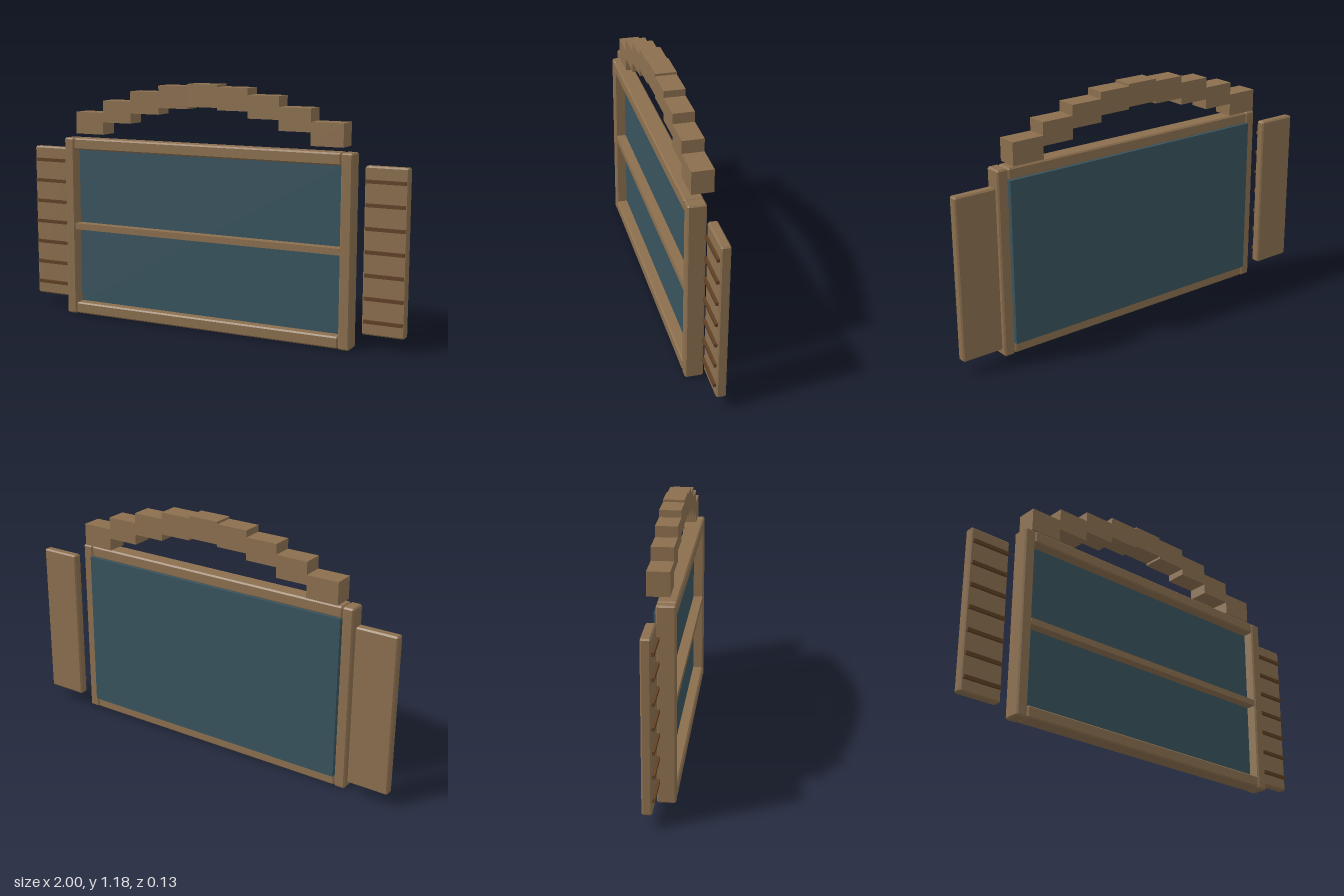
import * as THREE from 'three';
import { ConvexGeometry } from 'three/addons/geometries/ConvexGeometry.js';

const wood = new THREE.MeshStandardMaterial({ color: 0x8b6f4e });
const darkWood = new THREE.MeshStandardMaterial({ color: 0x5f4025 });
const glass = new THREE.MeshStandardMaterial({ color: 0x38535d });

// Box with every edge chamfered by c
function chamferBox(w, h, d, c) {
  const points = [];
  for (const x of [-1, 1]) for (const y of [-1, 1]) for (const z of [-1, 1]) {
    const [a, b, e] = [w / 2, h / 2, d / 2];
    points.push(
      new THREE.Vector3(x * a, y * (b - c), z * (e - c)),
      new THREE.Vector3(x * (a - c), y * b, z * (e - c)),
      new THREE.Vector3(x * (a - c), y * (b - c), z * e));
  }
  return new ConvexGeometry(points);
}

export function createModel() {
  const model = new THREE.Group();
  model.name = 'archedWindow';

  // Adds a block given by its bounds, optionally chamfered
  function block(parent, name, material, [x0, x1], [y0, y1], [z0, z1], chamfer = 0) {
    const size = [x1 - x0, y1 - y0, z1 - z0];
    const geometry = chamfer ? chamferBox(...size, chamfer) : new THREE.BoxGeometry(...size);
    const mesh = new THREE.Mesh(geometry, material);
    mesh.name = name;
    mesh.position.set((x0 + x1) / 2, (y0 + y1) / 2, (z0 + z1) / 2);
    parent.add(mesh);
  }

  // Frame: two posts, two rails, middle bar and pane
  const frame = new THREE.Group();
  frame.name = 'frame';
  model.add(frame);
  const depth = [-0.02, 0.065];
  block(frame, 'leftPost', wood, [0.71, 0.765], [0, 0.9], depth, 0.007);
  block(frame, 'rightPost', wood, [-0.765, -0.71], [0, 0.9], depth, 0.007);
  block(frame, 'bottomRail', wood, [-0.71, 0.71], [0.003, 0.06], depth, 0.007);
  block(frame, 'topRail', wood, [-0.71, 0.71], [0.843, 0.9], depth, 0.007);
  block(frame, 'middleBar', wood, [-0.71, 0.71], [0.437, 0.468], [0, 0.06]);
  block(frame, 'pane', glass, [-0.71, 0.71], [0.056, 0.847], [-0.035, 0.012]);

  // Shutters with seven slats each
  for (const [side, x] of [['left', 0.898], ['right', -0.898]]) {
    const shutter = new THREE.Group();
    shutter.name = side + 'Shutter';
    model.add(shutter);
    block(shutter, 'shutterPanel', wood, [x - 0.102, x + 0.102], [0.065, 0.84], [-0.056, -0.011], 0.007);
    for (let i = 0; i < 7; i++) {
      const y = 0.13 + i * 0.107;
      block(shutter, 'slat', darkWood, [x - 0.092, x + 0.092], [y - 0.008, y + 0.008], [-0.014, 0.001]);
    }
  }

  // Stepped arch of nine blocks following a sine curve
  const arch = new THREE.Group();
  arch.name = 'arch';
  model.add(arch);
  const width = 1.42 / 9;
  for (let i = 0; i < 9; i++) {
    const x = (i - 4) * width;
    const y = 0.943 + 0.187 * Math.sin(Math.PI * (i + 0.5) / 9);
    block(arch, 'archBlock', wood, [x - width / 2, x + width / 2], [y - 0.054, y + 0.054], [-0.064, 0.036]);
  }
  return model;
}
